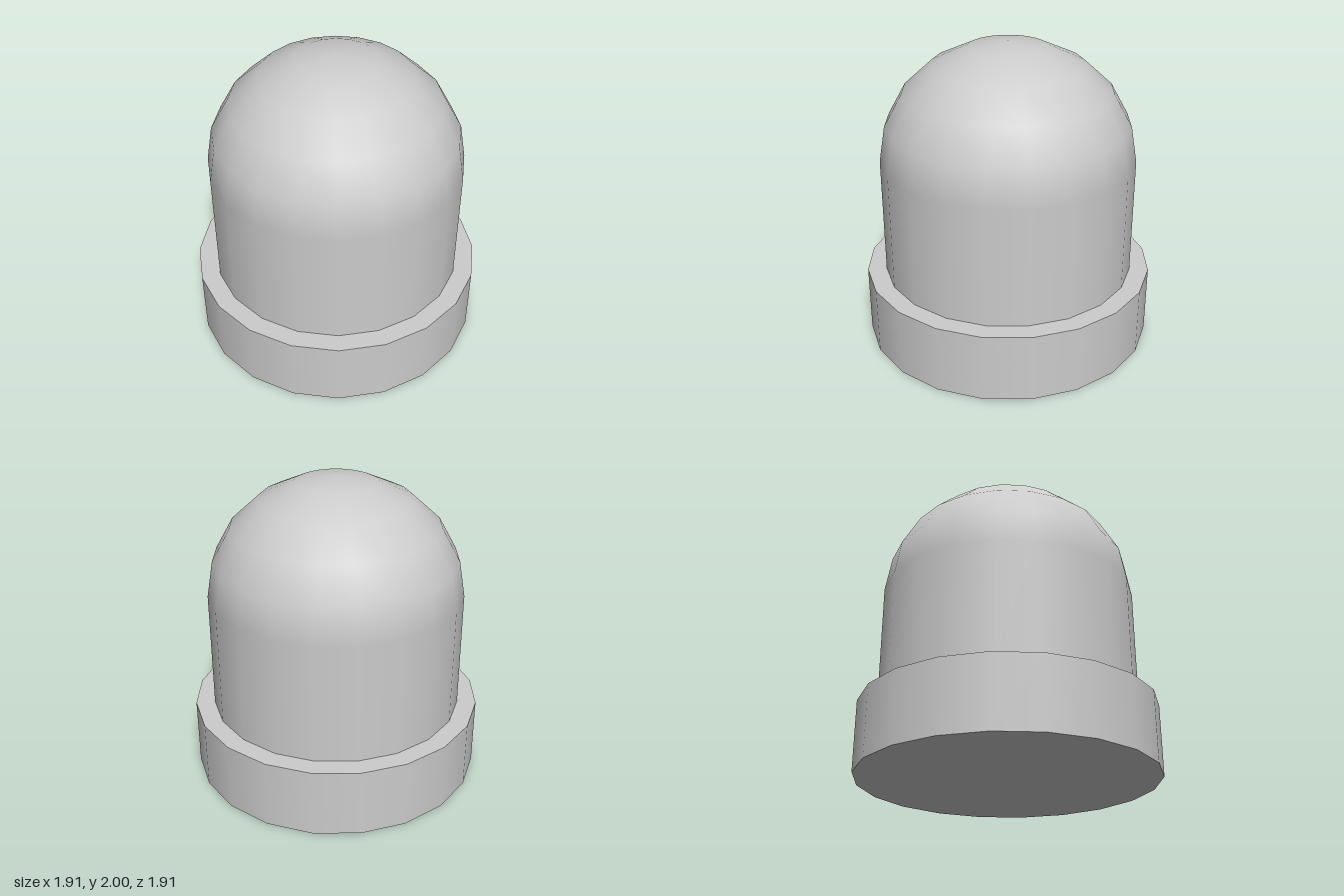
import * as THREE from 'three';

const SIDES = 20;
const BASE_RADIUS = 0.955, BASE_TOP = 0.455;
const BODY_RADIUS = 0.83, BODY_TOP = 1.24, TOTAL_HEIGHT = 2;

export function createModel() {
  const group = new THREE.Group();
  const material = new THREE.MeshStandardMaterial({ color: 0xcccccc });

  const add = (name, geometry, y) => {
    const mesh = new THREE.Mesh(geometry, material);
    mesh.name = name;
    mesh.position.y = y;
    group.add(mesh);
  };

  // Wide collar the body stands on
  add('base', new THREE.CylinderGeometry(BASE_RADIUS, BASE_RADIUS, BASE_TOP, SIDES), BASE_TOP / 2);

  // Straight wall of the body, open where it meets the base and the dome
  const wall = BODY_TOP - BASE_TOP;
  add('body', new THREE.CylinderGeometry(BODY_RADIUS, BODY_RADIUS, wall, SIDES, 1, true), BASE_TOP + wall / 2);

  // Slightly flattened half sphere on top
  const dome = new THREE.SphereGeometry(BODY_RADIUS, SIDES, 5, 0, Math.PI * 2, 0, Math.PI / 2);
  dome.scale(1, (TOTAL_HEIGHT - BODY_TOP) / BODY_RADIUS, 1);
  add('dome', dome, BODY_TOP);

  return group;
}
